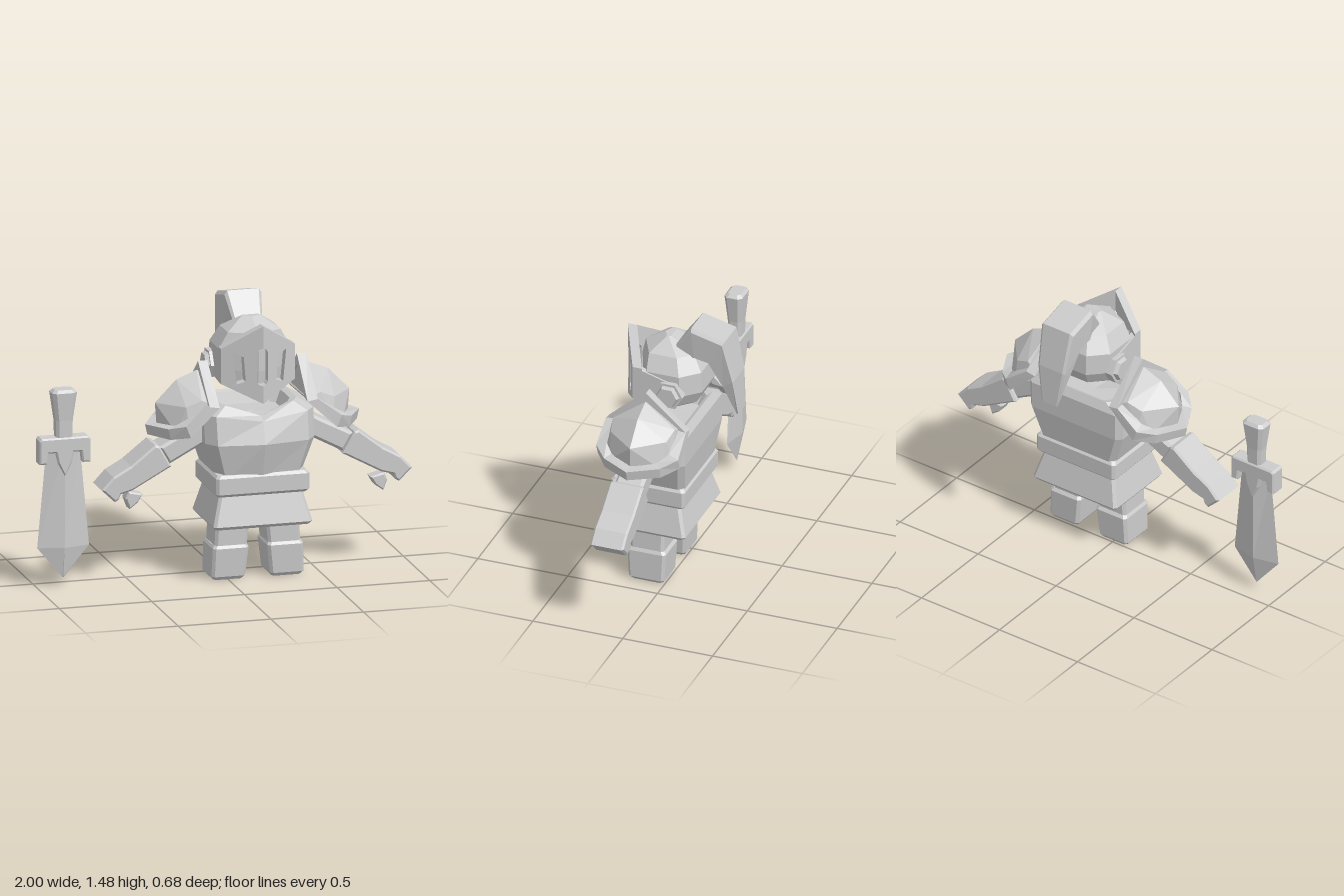
import * as THREE from 'three';
import { ConvexGeometry } from 'three/addons/geometries/ConvexGeometry.js';

const V = (x, y, z) => new THREE.Vector3(x, y, z);
const material = new THREE.MeshStandardMaterial({ color: 0xcccccc, flatShading: true });

// Skin a stack of cross-sections; ends are capped unless the stack closes on itself.
function loft(rings, closed = false) {
  const out = [];
  const tri = (...p) => p.forEach((v) => out.push(v.x, v.y, v.z));
  const n = rings[0].length;
  const last = closed ? rings.length : rings.length - 1;
  for (let k = 0; k < last; k++) {
    const a = rings[k], b = rings[(k + 1) % rings.length];
    for (let i = 0; i < n; i++) {
      const j = (i + 1) % n;
      tri(a[i], a[j], b[j]);
      tri(a[i], b[j], b[i]);
    }
  }
  if (!closed) {
    [rings[0], rings[rings.length - 1]].forEach((r, end) => {
      const c = r.reduce((s, p) => s.add(p), V(0, 0, 0)).divideScalar(n);
      for (let i = 0; i < n; i++) {
        const j = (i + 1) % n;
        if (end) tri(c, r[i], r[j]); else tri(c, r[j], r[i]);
      }
    });
  }
  const g = new THREE.BufferGeometry();
  g.setAttribute('position', new THREE.Float32BufferAttribute(out, 3));
  g.computeVertexNormals();
  return g;
}

// Block with chamfered corners from levels [y, x0, x1, z0, z1, chamfer].
const block = (levels) => loft(levels.map(([y, x0, x1, z0, z1, c]) => [
  V(x1, y, z1 - c), V(x1, y, z0 + c), V(x1 - c, y, z0), V(x0 + c, y, z0),
  V(x0, y, z0 + c), V(x0, y, z1 - c), V(x0 + c, y, z1), V(x1 - c, y, z1)]));

// Front-view outline given thickness from z0 to z1 with bevelled rims.
function slab(pts, z0, z1, bevel, holes = []) {
  const shape = new THREE.Shape(pts.map((p) => new THREE.Vector2(...p)));
  holes.forEach((h) => shape.holes.push(new THREE.Path(h.map((p) => new THREE.Vector2(...p)))));
  const g = new THREE.ExtrudeGeometry(shape, {
    depth: z1 - z0 - 2 * bevel, bevelEnabled: bevel > 0, bevelSize: bevel,
    bevelThickness: bevel, bevelOffset: -bevel, bevelSegments: 1,
  });
  return g.translate(0, 0, z0 + bevel);
}

// Mirror in x, keeping faces outward.
function mirrored(geo) {
  const g = geo.index ? geo.toNonIndexed() : geo.clone();
  const p = g.attributes.position;
  const a = new THREE.Vector3(), b = new THREE.Vector3();
  for (let i = 0; i < p.count; i += 3) {
    a.fromBufferAttribute(p, i + 1);
    b.fromBufferAttribute(p, i + 2);
    p.setXYZ(i, -p.getX(i), p.getY(i), p.getZ(i));
    p.setXYZ(i + 1, -b.x, b.y, b.z);
    p.setXYZ(i + 2, -a.x, a.y, a.z);
  }
  g.computeVertexNormals();
  return g;
}

function add(group, name, geo) {
  const mesh = new THREE.Mesh(geo, material);
  mesh.name = name;
  group.add(mesh);
}
function addPair(group, name, geo) {
  add(group, 'left' + name, geo);
  add(group, 'right' + name, mirrored(geo));
}

function buildBody(knight) {
  // Breastplate: shallow pointed front, recessed V neck
  const chest = [ // y, half width, front centre z, front corner z, back z, front centre y
    [0.55, 0.23, 0.285, 0.265, -0.10, 0.55],
    [0.75, 0.295, 0.338, 0.30, -0.125, 0.75],
    [0.90, 0.297, 0.30, 0.272, -0.125, 0.865],
    [0.945, 0.22, 0.25, 0.22, -0.10, 0.885],
    [0.935, 0.19, 0.225, 0.195, -0.08, 0.875],
    [0.87, 0.16, 0.19, 0.16, -0.06, 0.85],
  ].map(([y, w, zf, zc, zb, yf]) => [
    V(w, y, zc - 0.07), V(w, y, zb + 0.03), V(w - 0.03, y, zb), V(-w + 0.03, y, zb),
    V(-w, y, zb + 0.03), V(-w, y, zc - 0.07), V(-w * 0.83, y, zc), V(0, yf, zf), V(w * 0.83, y, zc)]);
  add(knight, 'breastplate', loft(chest));

  add(knight, 'belt', block([
    [0.47, -0.24, 0.24, -0.10, 0.285, 0.015], [0.485, -0.252, 0.252, -0.114, 0.298, 0.015],
    [0.57, -0.252, 0.252, -0.114, 0.298, 0.015], [0.585, -0.24, 0.24, -0.10, 0.285, 0.015]]));
  add(knight, 'skirt', block([
    [0.295, -0.255, 0.255, -0.11, 0.29, 0.015], [0.312, -0.267, 0.267, -0.122, 0.303, 0.015],
    [0.47, -0.225, 0.225, -0.08, 0.26, 0.015]]));

  // Legs
  addPair(knight, 'Thigh', block([
    [0.17, 0.058, 0.232, 0.01, 0.197, 0.015], [0.36, 0.04, 0.222, 0.01, 0.2, 0.015]]));
  addPair(knight, 'Boot', block([
    [0, 0.08, 0.235, 0.015, 0.187, 0.015], [0.018, 0.067, 0.249, 0.002, 0.2, 0.015],
    [0.17, 0.05, 0.244, -0.004, 0.21, 0.015], [0.185, 0.058, 0.235, 0.008, 0.2, 0.015]]));
}

function buildArms(knight) {
  addPair(knight, 'UpperArm', slab(
    [[0.2, 0.77], [0.3, 0.725], [0.47, 0.635], [0.525, 0.73], [0.36, 0.815], [0.24, 0.88]], 0.015, 0.17, 0.015));
  addPair(knight, 'Gauntlet', slab(
    [[0.462, 0.628], [0.67, 0.515], [0.735, 0.497], [0.745, 0.47], [0.767, 0.457],
      [0.838, 0.525], [0.775, 0.592], [0.68, 0.645], [0.55, 0.747], [0.525, 0.74]], 0, 0.185, 0.01));
  addPair(knight, 'Thumb', slab(
    [[0.615, 0.487], [0.64, 0.443], [0.685, 0.41], [0.707, 0.468], [0.69, 0.505]], 0.094, 0.172, 0.008));

  // Shoulder armour: faceted dome inside a bent rim
  const dome = [[0.25, 1.10, 0], [0.30, 1.11, 0], [0.41, 1.067, 0], [0.525, 0.95, 0], [0.515, 0.82, 0]].map((p) => V(...p));
  for (const s of [1, -1]) {
    dome.push(V(0.25, 0.965, s * 0.19), V(0.32, 0.99, s * 0.172), V(0.40, 0.955, s * 0.155),
      V(0.39, 0.85, s * 0.185), V(0.45, 0.82, s * 0.14));
  }
  addPair(knight, 'ShoulderDome', new ConvexGeometry(dome).translate(0, 0, 0.083));

  // Rim sections: outer corner, step toward the opening, step to the underside
  const half = [
    [V(0.292, 1.158, 0), V(0, -0.058, 0), V(-0.05, 0, 0)],
    [V(0.292, 0.967, 0.222), V(0, 0.005, -0.055), V(-0.055, -0.01, 0)],
    [V(0.42, 0.872, 0.228), V(-0.01, 0.02, -0.055), V(-0.025, -0.062, 0)],
    [V(0.495, 0.845, 0.155), V(-0.045, 0.01, -0.025), V(-0.012, -0.058, 0)],
    [V(0.578, 0.838, 0), V(-0.08, 0.005, 0), V(-0.012, -0.054, 0)],
  ];
  const flip = (v) => V(v.x, v.y, -v.z);
  const path = [...half, ...half.slice(1, 4).reverse().map((s) => s.map(flip))];
  const rim = path.map(([p, a, b]) => [
    p, p.clone().add(b), p.clone().add(a).add(b), p.clone().add(a)]);
  addPair(knight, 'ShoulderRim', loft(rim, true).translate(0, 0, 0.083));
}

function buildHelmet(knight) {
  const helmet = new THREE.Group();
  helmet.name = 'helmet';
  knight.add(helmet);

  // Skull: y, half width, front z, back z, back chamfer; the front follows the visor's point
  const skull = [
    [1.01, 0.12, 0.19, -0.085, 0.06], [1.04, 0.165, 0.20, -0.12, 0.08],
    [1.11, 0.19, 0.21, -0.155, 0.09], [1.225, 0.19, 0.215, -0.15, 0.09],
    [1.31, 0.142, 0.195, -0.10, 0.07], [1.376, 0.05, 0.085, 0.04, 0.01],
  ].map(([y, w, zf, zb, c]) => {
    const zs = Math.max(zf - 0.5 * w, zb + c);
    return [V(w, y, zs), V(w, y, zb + c), V(w - c, y, zb), V(c - w, y, zb), V(-w, y, zb + c), V(-w, y, zs), V(0, y, zf)];
  });
  add(helmet, 'skull', loft(skull));

  // Visor halves, swept back from the centre line, with eye slots
  const visor = slab(
    [[0, 1.377], [0, 1.255], [0.018, 1.25], [0.03, 1.23], [0.03, 1.075], [0.018, 1.06], [0, 1.055],
      [0, 0.96], [0.2, 1.055], [0.2, 1.243]], 0.245, 0.297, 0,
    [[[0.092, 1.205], [0.145, 1.228], [0.125, 1.057], [0.083, 1.075]]]);
  const p = visor.attributes.position;
  for (let i = 0; i < p.count; i++) p.setZ(i, p.getZ(i) - 0.52 * p.getX(i));
  visor.computeVertexNormals();
  addPair(helmet, 'Visor', visor);

  // Cheek arms reach back to the hexagonal hinges
  const cheek = slab([[0.19, 1.243], [-0.03, 1.18], [-0.03, 1.07], [0.19, 1.055]].map(([z, y]) => [-z, y]), 0.165, 0.2, 0);
  addPair(helmet, 'Cheek', cheek.rotateY(Math.PI / 2));
  const disc = (r0, r1, h, x) => new THREE.CylinderGeometry(r0, r1, h, 6)
    .rotateZ(-Math.PI / 2).translate(x, 1.12, -0.01);
  addPair(helmet, 'HingeBase', disc(0.08, 0.08, 0.045, 0.195));
  addPair(helmet, 'HingeCap', disc(0.055, 0.065, 0.022, 0.228));

  // Plume: outer z, y; inner z, y; half width
  const plume = [
    [0.005, 1.345, -0.06, 1.28, 0.08], [-0.09, 1.475, -0.105, 1.3, 0.1],
    [-0.275, 1.427, -0.185, 1.285, 0.1], [-0.325, 1.2, -0.262, 1.15, 0.085],
    [-0.338, 0.99, -0.325, 0.99, 0.05],
  ].map(([zo, yo, zi, yi, w]) => {
    const mix = (t, x) => V(x, yo + (yi - yo) * t, zo + (zi - zo) * t);
    return [mix(1, w * 0.9), mix(1, -w * 0.9), mix(0.12, -w), mix(0, -w * 0.85), mix(0, w * 0.85), mix(0.12, w)];
  });
  add(helmet, 'plume', loft(plume));
}

function buildSword() {
  const sword = new THREE.Group();
  sword.name = 'sword';
  const ring = (y, w, t) => [V(w, y, 0), V(0, y, -t), V(-w, y, 0), V(0, y, t)];
  add(sword, 'blade', loft([ring(0.05, 0.003, 0.003), ring(0.215, 0.14, 0.032), ring(0.76, 0.09, 0.032)]));
  const side = [[0.125, 0.81], [0.137, 0.798], [0.137, 0.672], [0.095, 0.672], [0.088, 0.73], [0.048, 0.73], [0.036, 0.672]];
  const outline = [...side, [0, 0.602], ...side.map(([x, y]) => [-x, y]).reverse()];
  add(sword, 'guard', slab(outline, -0.043, 0.043, 0.008));
  add(sword, 'grip', block([[0.79, -0.043, 0.043, -0.035, 0.035, 0.015],
    [0.9, -0.046, 0.046, -0.038, 0.038, 0.015], [1.05, -0.067, 0.067, -0.05, 0.05, 0.02],
    [1.065, -0.05, 0.05, -0.035, 0.035, 0.015]]));
  sword.position.set(-0.861, 0, 0.086);
  return sword;
}

export function createModel() {
  const model = new THREE.Group();
  model.name = 'armouredFigureWithSword';
  const knight = new THREE.Group();
  knight.name = 'knight';
  knight.position.x = 0.16;
  buildBody(knight);
  buildArms(knight);
  buildHelmet(knight);
  model.add(knight, buildSword());
  return model;
}
